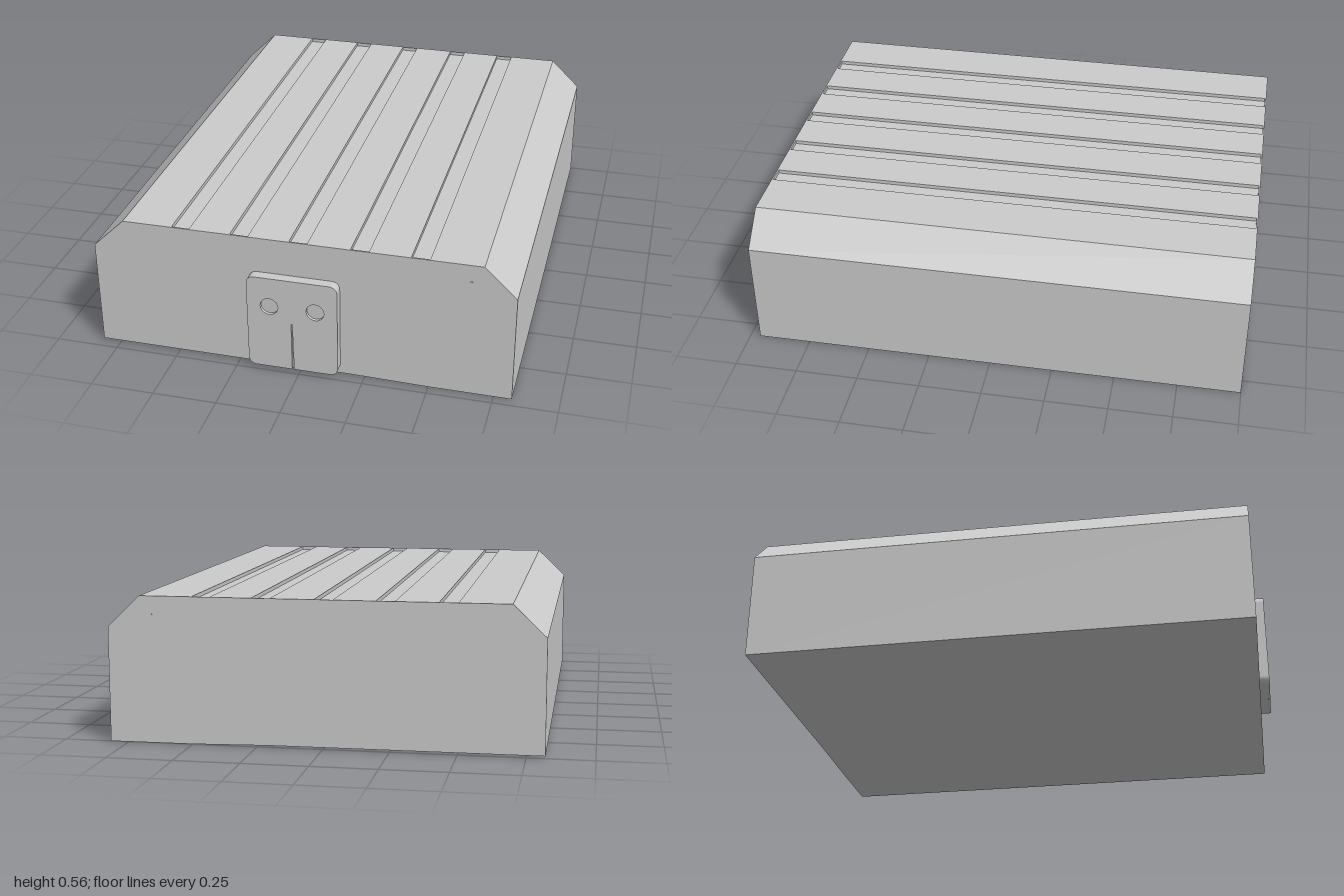
import * as THREE from 'three';

const grey = new THREE.MeshStandardMaterial({ color: 0xcccccc, flatShading: true });

// Extrudes a shape along z from z0 to z1
function slab(name, shape, z0, z1) {
  const geo = new THREE.ExtrudeGeometry(shape, { depth: z1 - z0, bevelEnabled: false, curveSegments: 10 });
  geo.translate(0, 0, z0);
  const mesh = new THREE.Mesh(geo, grey);
  mesh.name = name;
  return mesh;
}

// Chamfered cross-section, optionally with shallow grooves along its top
function bodyShape(grooves) {
  const pts = [[-0.82, 0.009], [0.2, 0.007], [0.5, 0.001], [0.82, 0], [0.82, 0.44], [0.695, 0.56]];
  for (const [a, b] of grooves) pts.push([b, 0.56], [b, 0.545], [a, 0.545], [a, 0.56]);
  pts.push([-0.695, 0.56], [-0.82, 0.44]);
  return new THREE.Shape(pts.map(([x, y]) => new THREE.Vector2(x, y)));
}

// Rounded plate outline; the front layer also has a slit rising from its lower edge
function plateShape(withSlit) {
  const [l, r, b, t, c] = [-0.198, 0.156, 0.02, 0.415, 0.03];
  const s = new THREE.Shape();
  s.moveTo(l + c, b);
  if (withSlit) {
    s.lineTo(-0.025, b);
    s.lineTo(-0.025, 0.225);
    s.lineTo(-0.022, 0.225);
    s.lineTo(-0.018, 0.13);
    s.lineTo(-0.018, b);
  }
  s.lineTo(r - c, b);
  s.absarc(r - c, b + c, c, -Math.PI / 2, 0);
  s.absarc(r - c, t - c, c, 0, Math.PI / 2);
  s.absarc(l + c, t - c, c, Math.PI / 2, Math.PI);
  s.absarc(l + c, b + c, c, Math.PI, Math.PI * 1.5);
  return s;
}

export function createModel() {
  const model = new THREE.Group();
  model.name = 'groovedCase';

  // Grooved body closed by flat end panels
  const grooves = [0.46, 0.232, -0.004, -0.234, -0.465].map((x) => [x - 0.035, x + 0.035]);
  model.add(slab('body', bodyShape(grooves), -0.994, 0.954));
  model.add(slab('frontPanel', bodyShape([]), 0.954, 0.96));
  model.add(slab('backPanel', bodyShape([]), -1, -0.994));

  // Front plate with two shallow round recesses and a slit
  const plate = new THREE.Group();
  plate.name = 'frontPlate';
  const face = plateShape(true);
  for (const x of [-0.11, 0.07]) {
    face.holes.push(new THREE.Path().absarc(x, 0.292, 0.035, 0, Math.PI * 2, true));
  }
  plate.add(slab('plateBase', plateShape(false), 0.96, 0.988));
  plate.add(slab('plateFace', face, 0.988, 1));
  model.add(plate);

  // Tiny pins at both ends
  for (const z of [0.96, -1]) {
    const pin = new THREE.Mesh(new THREE.CylinderGeometry(0.004, 0.004, 0.006, 8), grey);
    pin.name = z > 0 ? 'frontPin' : 'backPin';
    pin.rotation.x = Math.PI / 2;
    pin.position.set(0.65, 0.49, z);
    model.add(pin);
  }
  return model;
}
